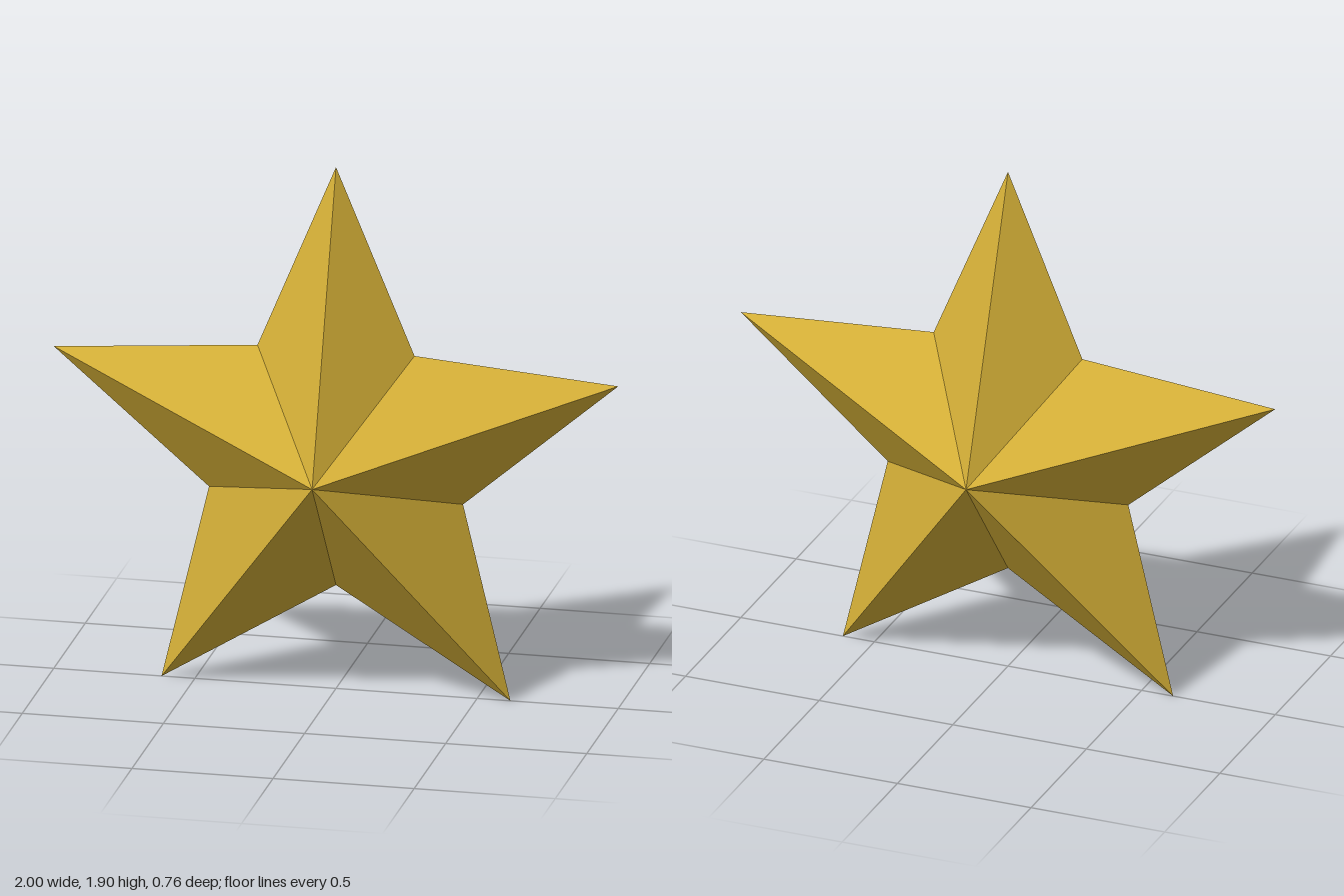
import * as THREE from 'three';

const POINTS = 5;
const OUTER = 1 / Math.cos(Math.PI / 10); // tip radius, gives a 2 unit span
const INNER = OUTER * 0.45;               // valley radius
const DEPTH = 0.38;                       // centre peak, front and back
const CENTRE_Y = OUTER * Math.cos(Math.PI / 5);

// Rim corner i, alternating tip and valley, counter-clockwise from the top tip
function rim(i) {
  const a = Math.PI / 2 + (i * Math.PI) / POINTS;
  const r = i % 2 === 0 ? OUTER : INNER;
  return [r * Math.cos(a), r * Math.sin(a), 0];
}

// Faceted star: each rim edge joins the front peak and the back peak
function starGeometry() {
  const positions = [];
  for (let i = 0; i < POINTS * 2; i++) {
    const a = rim(i);
    const b = rim((i + 1) % (POINTS * 2));
    positions.push(0, 0, DEPTH, ...a, ...b);
    positions.push(0, 0, -DEPTH, ...b, ...a);
  }
  const geometry = new THREE.BufferGeometry();
  geometry.setAttribute('position', new THREE.Float32BufferAttribute(positions, 3));
  geometry.computeVertexNormals();
  return geometry;
}

export function createModel() {
  const gold = new THREE.MeshStandardMaterial({ color: 0xd4af37 });
  gold.name = 'gold';

  const star = new THREE.Mesh(starGeometry(), gold);
  star.name = 'star';
  star.position.y = CENTRE_Y;

  const model = new THREE.Group();
  model.name = 'facetedStar';
  model.add(star);
  return model;
}
